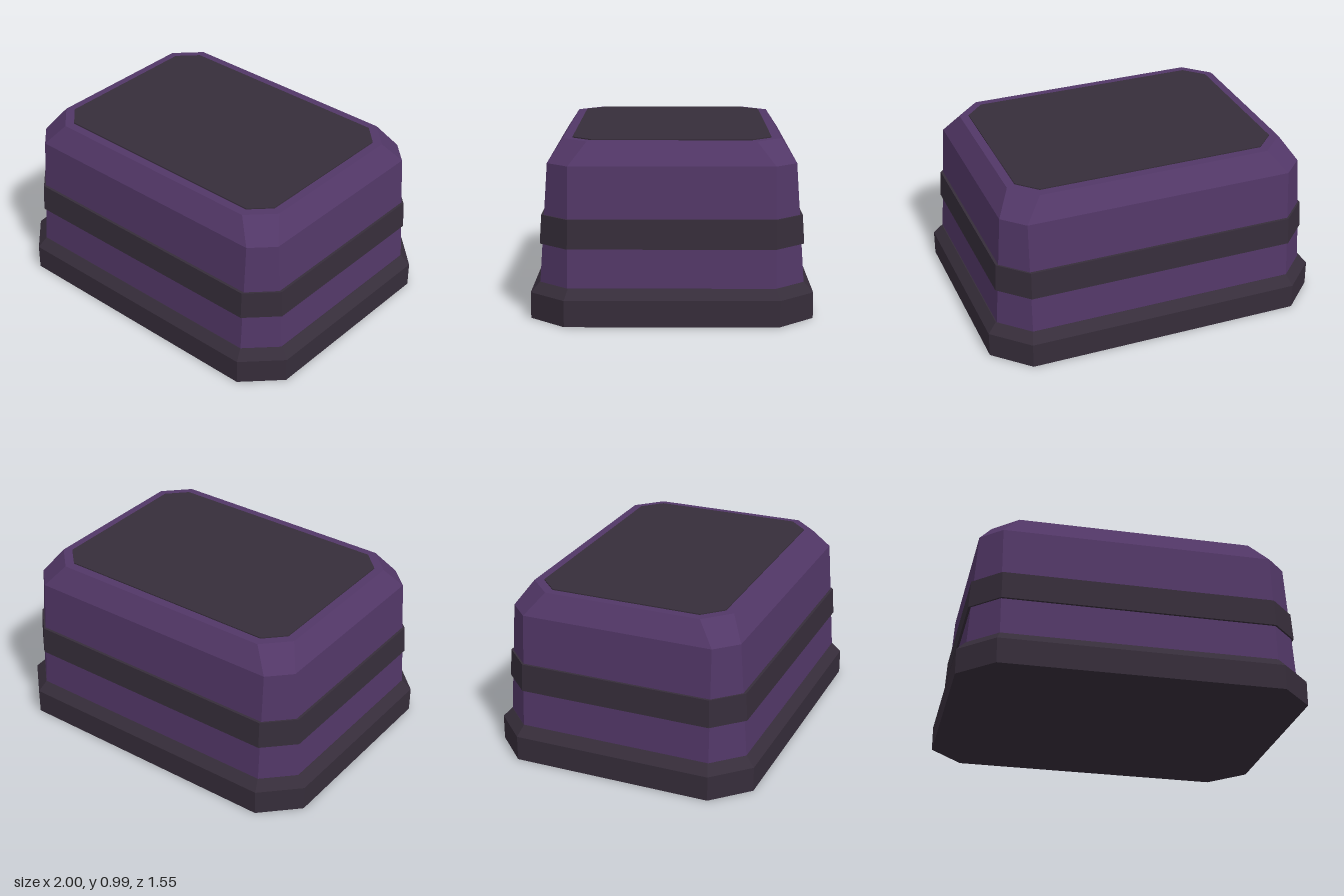
import * as THREE from 'three';

// Eight corners of a rectangle with cut corners, counter-clockwise seen from above
function ring([y, hx, hz, cut]) {
  const cx = hx - cut, cz = hz - cut;
  return [
    [hx, y, cz], [hx, y, -cz], [cx, y, -hz], [-cx, y, -hz],
    [-hx, y, -cz], [-hx, y, cz], [-cx, y, hz], [cx, y, hz],
  ];
}

// Closed solid through a stack of cut-corner sections [y, halfX, halfZ, cut]
function stack(name, sections, material) {
  const rings = sections.map(ring);
  const pos = [];
  const tri = (a, b, c) => pos.push(...a, ...b, ...c);
  for (let k = 0; k < rings.length - 1; k++) {
    const lo = rings[k], hi = rings[k + 1];
    for (let i = 0; i < 8; i++) {
      const j = (i + 1) % 8;
      tri(lo[i], lo[j], hi[j]);
      tri(lo[i], hi[j], hi[i]);
    }
  }
  const bottom = rings[0], top = rings[rings.length - 1];
  for (let i = 1; i < 7; i++) {
    tri(top[0], top[i], top[i + 1]);
    tri(bottom[0], bottom[i + 1], bottom[i]);
  }
  const geometry = new THREE.BufferGeometry();
  geometry.setAttribute('position', new THREE.Float32BufferAttribute(pos, 3));
  geometry.computeVertexNormals();
  const mesh = new THREE.Mesh(geometry, material);
  mesh.name = name;
  return mesh;
}

export function createModel() {
  const purple = new THREE.MeshStandardMaterial({ color: 0x523767 });
  purple.name = 'purple';
  const charcoal = new THREE.MeshStandardMaterial({ color: 0x362d3a });
  charcoal.name = 'charcoal';

  const model = new THREE.Group();
  model.name = 'bevelledBlock';
  model.add(
    // Wide foot with a bevelled upper edge
    stack('base', [[0, 1, 0.777, 0.195], [0.145, 1, 0.777, 0.195], [0.2, 0.95, 0.727, 0.165]], charcoal),
    // Tapered body with a sloped shoulder
    stack('body', [[0.2, 0.945, 0.725, 0.16], [0.86, 0.9, 0.68, 0.12], [0.984, 0.82, 0.6, 0.14]], purple),
    // Raised belt around the body
    stack('band', [[0.415, 0.944, 0.725, 0.16], [0.575, 0.934, 0.715, 0.153]], charcoal),
    // Thin inlay on the top
    stack('topPanel', [[0.982, 0.77, 0.547, 0.108], [0.99, 0.77, 0.547, 0.108]], charcoal),
  );
  return model;
}
